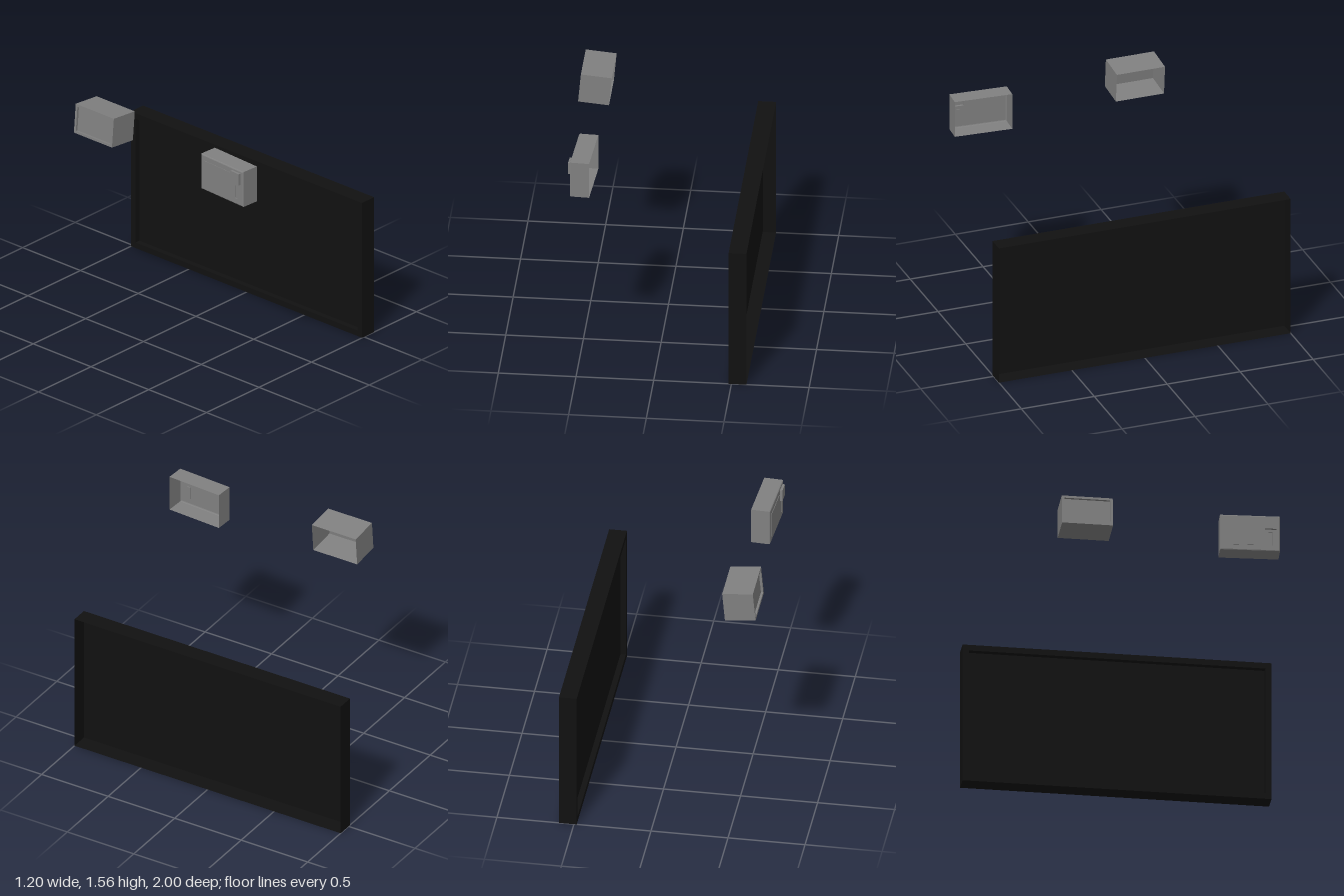
import * as THREE from 'three';

const black = new THREE.MeshStandardMaterial({ color: 0x111111, flatShading: true, side: THREE.DoubleSide });
const grey = new THREE.MeshStandardMaterial({ color: 0x808080, flatShading: true, side: THREE.DoubleSide });

// Nested rectangles [z0, z1, y0, y1, x] joined into a shell facing -x; the last one is closed if cap is set
function shell(loops, cap = true) {
  const rings = loops.map(([z0, z1, y0, y1, x]) => [[x, y0, z0], [x, y0, z1], [x, y1, z1], [x, y1, z0]]);
  const pos = [];
  const quad = (a, b, c, d) => pos.push(...a, ...b, ...c, ...a, ...c, ...d);
  for (let r = 0; r + 1 < rings.length; r++) {
    for (let i = 0; i < 4; i++) {
      const j = (i + 1) % 4;
      quad(rings[r][i], rings[r][j], rings[r + 1][j], rings[r + 1][i]);
    }
  }
  if (cap) quad(...rings[rings.length - 1]);
  const g = new THREE.BufferGeometry();
  g.setAttribute('position', new THREE.Float32BufferAttribute(pos, 3));
  g.computeVertexNormals();
  return g;
}

function add(parent, name, geometry, material) {
  const m = new THREE.Mesh(geometry, material);
  m.name = name;
  parent.add(m);
  return m;
}

// Centred rectangle with half length l and half height h, shrunk by inset
const rect = (l, h, x, inset = 0) => [-l + inset, l - inset, -h + inset, h - inset, x];

// Open-backed case with a flat bezel and a recessed screen
function screenBox(parent, name, [d, h, l], bezel, recess, material) {
  const g = new THREE.Group();
  g.name = name;
  add(g, 'case', shell([rect(l, h, d), rect(l, h, -d), rect(l, h, -d, bezel)], false), material);
  add(g, 'screen', shell([rect(l, h, -d, bezel), rect(l, h, -d + recess, bezel)]), material);
  parent.add(g);
  return g;
}

function microwave(parent) {
  const g = new THREE.Group();
  g.name = 'microwave';
  const d = 0.0625, h = 0.124, l = 0.193, c = 0.007;
  add(g, 'case', shell([
    rect(l, h, d), rect(l, h, -d + c), rect(l, h, -d + c * 0.3, c * 0.3), rect(l, h, -d, c),
  ], false), grey);

  // Front plate with an opening for the display and the door button
  const panels = [
    ['display', 0.095, 0.17, 0.027, 0.107, -0.016],
    ['doorButton', 0.118, 0.143, -0.083, 0.007, 0.006],
  ];
  const box = (P, z0, z1, y0, y1) => new P([[z0, y0], [z1, y0], [z1, y1], [z0, y1]].map((p) => new THREE.Vector2(...p)));
  const plate = box(THREE.Shape, -l + c, l - c, -h + c, h - c);
  for (const [name, z0, z1, y0, y1, depth] of panels) {
    plate.holes.push(box(THREE.Path, z0, z1, y0, y1));
    add(g, name, shell([[z0, z1, y0, y1, -d], [z0, z1, y0, y1, -d + depth]]), grey);
  }
  add(g, 'frontPlate', new THREE.ShapeGeometry(plate).rotateY(-Math.PI / 2).translate(-d, 0, 0), grey);

  // Door window lying on the plate
  const w = [-0.162, 0.076, -0.085, 0.085];
  add(g, 'window', shell([[...w, -d], [...w, -d - 0.003]]), grey);
  parent.add(g);
  return g;
}

export function createModel() {
  const model = new THREE.Group();
  model.name = 'appliances';

  // Large flat screen standing along z, facing -x
  screenBox(model, 'flatScreen', [0.0575, 0.48, 1], 0.04, 0.035, black).position.set(0.5395, 0.48, 0);

  // Small tilted monitor
  const monitor = screenBox(model, 'monitor', [0.1, 0.1, 0.165], 0.016, 0.015, grey);
  monitor.position.set(-0.491, 1.447, -0.347);
  monitor.rotation.z = -0.09;

  // Microwave, turned slightly
  const oven = microwave(model);
  oven.position.set(-0.475, 1.393, 0.717);
  oven.rotation.y = -0.06;

  return model;
}
